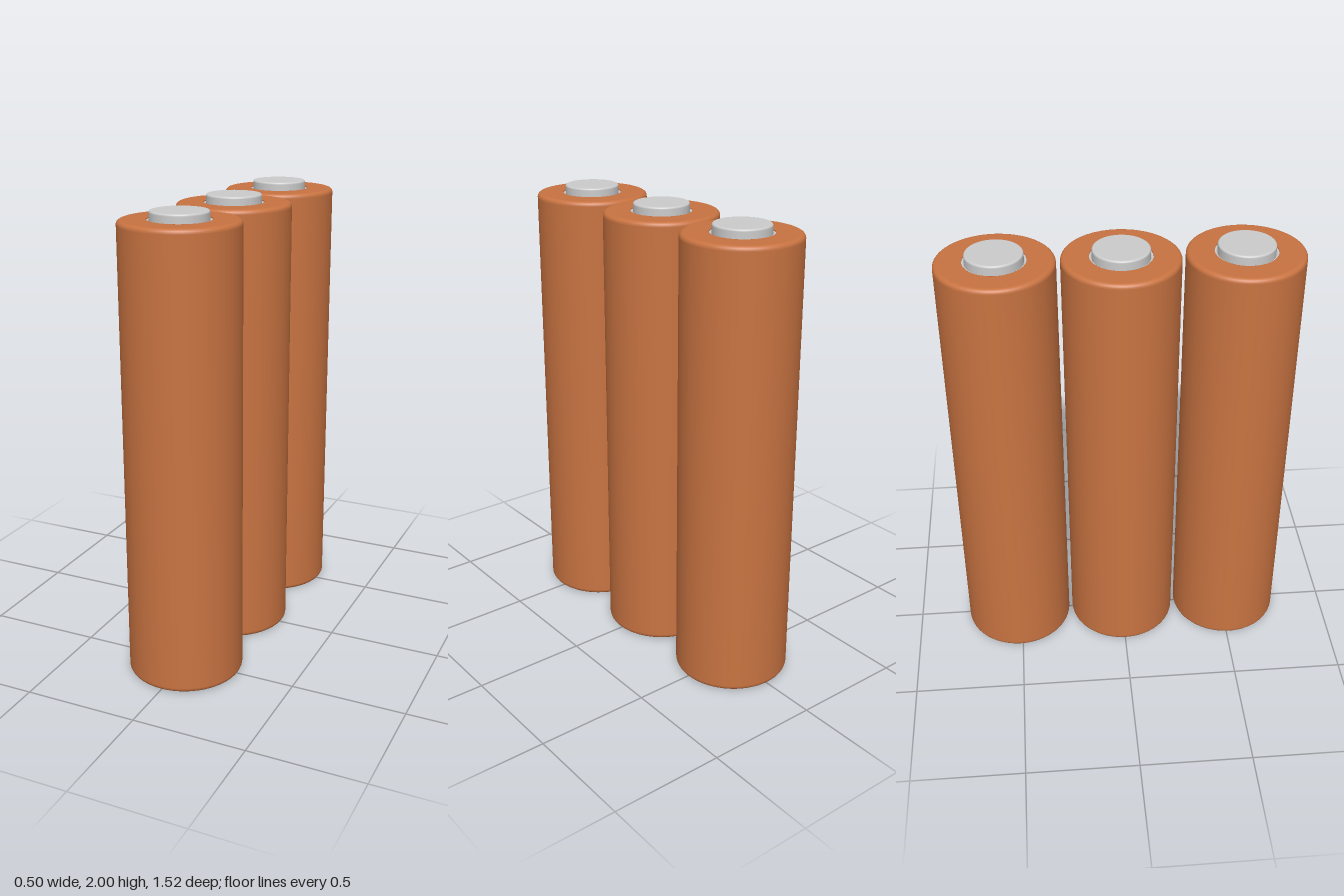
import * as THREE from 'three';

const BODY_R = 0.248, TOP = 1.965, SPACING = 0.512, SIDES = 64;

// Points of a rounded corner; angles in degrees
function arc(cx, cy, r, from, to, steps = 6) {
  return Array.from({ length: steps + 1 }, (_, i) => {
    const a = THREE.MathUtils.degToRad(from + (to - from) * i / steps);
    return [cx + r * Math.cos(a), cy + r * Math.sin(a)];
  });
}

// Lathe whose long segments get guard points, so flats stay flat and edges crisp
function turned(name, profile, material) {
  const pts = profile.map(([r, y]) => new THREE.Vector2(Math.max(r, 0), y));
  const out = [pts[0]];
  for (let i = 1; i < pts.length; i++) {
    const a = pts[i - 1], b = pts[i], d = a.distanceTo(b);
    if (d > 0.008) {
      const t = 0.001 / d;
      out.push(a.clone().lerp(b, t), a.clone().lerp(b, 1 - t));
    }
    out.push(b);
  }
  const mesh = new THREE.Mesh(new THREE.LatheGeometry(out, SIDES), material);
  mesh.name = name;
  return mesh;
}

function createCell(sleeveMat, metalMat) {
  const cell = new THREE.Group();

  // Wrapped sleeve: rolled lip below, rounded shoulder above
  cell.add(turned('sleeve', [
    [0.165, 0.022], [0.188, 0.022],
    ...arc(0.208, 0.012, 0.012, 180, 270, 4),
    ...arc(BODY_R - 0.02, 0.02, 0.02, 270, 360),
    ...arc(BODY_R - 0.018, TOP - 0.018, 0.018, 0, 90),
    [0.131, TOP], [0.131, TOP - 0.012],
  ], sleeveMat));

  // Metal collar and raised button of the upper terminal
  cell.add(turned('topTerminal', [
    [0.134, TOP - 0.004], [0.124, TOP - 0.004], [0.12, TOP - 0.008],
    ...arc(0.112, 1.992, 0.008, 0, 90, 5),
    [0, 2],
  ], metalMat));

  // Recessed base plate with a shallow central boss
  cell.add(turned('bottomTerminal', [
    [0, 0.012], [0.046, 0.012], [0.054, 0.018], [0.168, 0.018], [0.168, 0.026],
  ], metalMat));

  return cell;
}

export function createModel() {
  const sleeveMat = new THREE.MeshStandardMaterial({ color: 0xc87341 });
  const metalMat = new THREE.MeshStandardMaterial({ color: 0xcccccc });
  const model = new THREE.Group();
  model.name = 'batteries';

  // Three upright cells in a row from front to back
  ['frontCell', 'middleCell', 'backCell'].forEach((name, i) => {
    const cell = createCell(sleeveMat, metalMat);
    cell.name = name;
    cell.position.z = (1 - i) * SPACING;
    model.add(cell);
  });
  return model;
}
